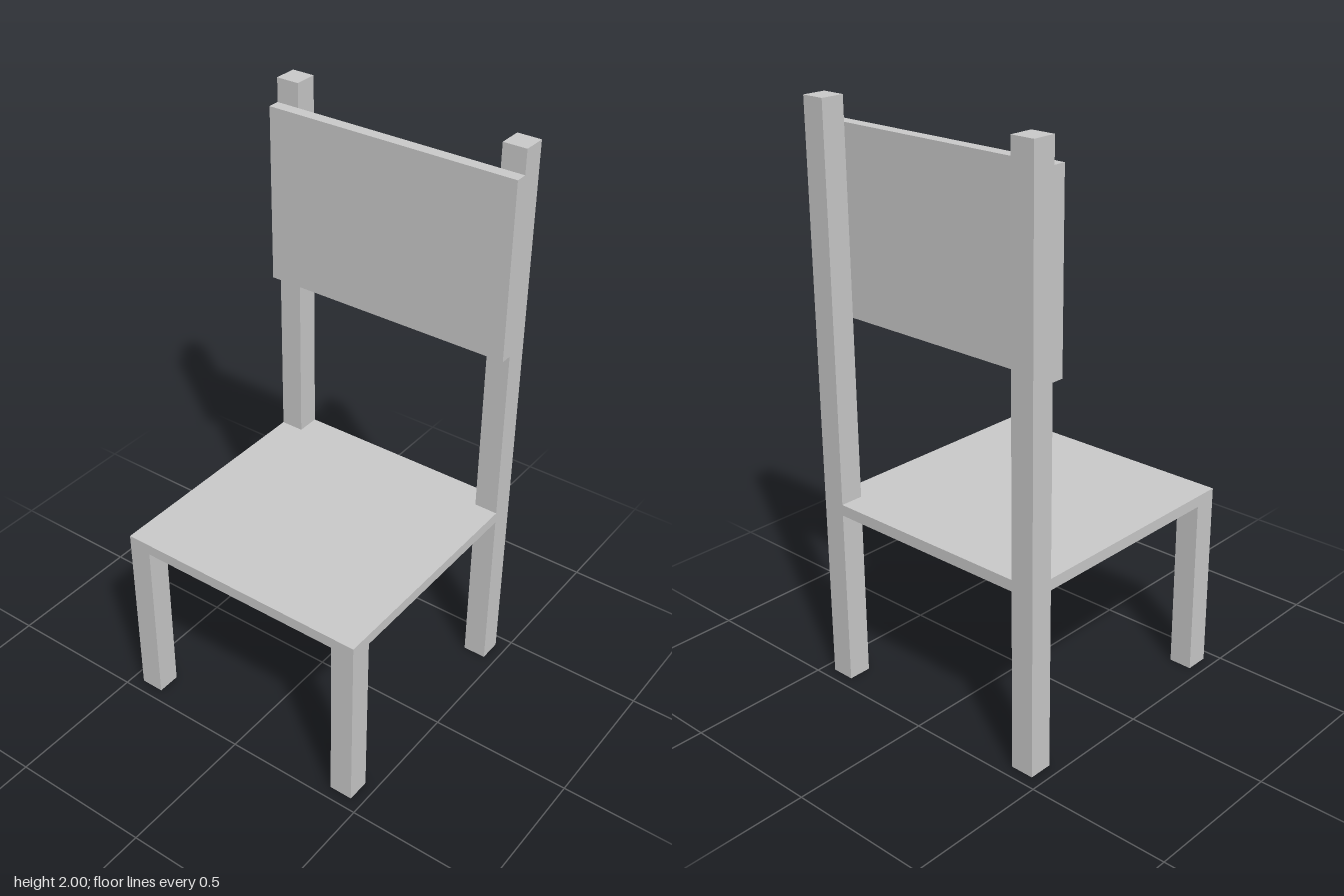
import * as THREE from 'three';

const HALF = 0.458;            // half of the square footprint
const POST = 0.083;            // leg and post thickness
const SEAT_BOTTOM = 0.628, SEAT_TOP = 0.667;

const material = new THREE.MeshStandardMaterial({ color: 0xcccccc, flatShading: true });

// Box given by its lower and upper corners
function box(name, [x0, y0, z0], [x1, y1, z1]) {
  const mesh = new THREE.Mesh(new THREE.BoxGeometry(x1 - x0, y1 - y0, z1 - z0), material);
  mesh.position.set((x0 + x1) / 2, (y0 + y1) / 2, (z0 + z1) / 2);
  mesh.name = name;
  return mesh;
}

// Square seat board, notched at its two rear corners for the posts
function seat() {
  const inner = HALF - POST;
  const outline = new THREE.Shape([
    [-HALF, -HALF], [inner, -HALF], [inner, -inner], [HALF, -inner],
    [HALF, inner], [inner, inner], [inner, HALF], [-HALF, HALF],
  ].map(([x, y]) => new THREE.Vector2(x, y)));
  const geometry = new THREE.ExtrudeGeometry(outline, { depth: SEAT_TOP - SEAT_BOTTOM, bevelEnabled: false });
  geometry.rotateX(-Math.PI / 2);
  const mesh = new THREE.Mesh(geometry, material);
  mesh.position.y = SEAT_BOTTOM;
  mesh.name = 'seat';
  return mesh;
}

export function createModel() {
  const chair = new THREE.Group();
  chair.name = 'chair';
  chair.add(seat());

  // The chair faces -x: short legs there, full-height posts at +x
  for (const [side, z] of [['A', -HALF], ['B', HALF - POST]]) {
    chair.add(box('frontLeg' + side, [-HALF, 0, z], [-HALF + POST, SEAT_BOTTOM, z + POST]));
    chair.add(box('backPost' + side, [HALF - POST, 0, z], [HALF, 2, z + POST]));
  }

  // Backrest panel fixed to the front faces of the posts
  chair.add(box('backrest', [0.333, 1.295, -HALF], [HALF - POST, 1.917, HALF]));
  return chair;
}
